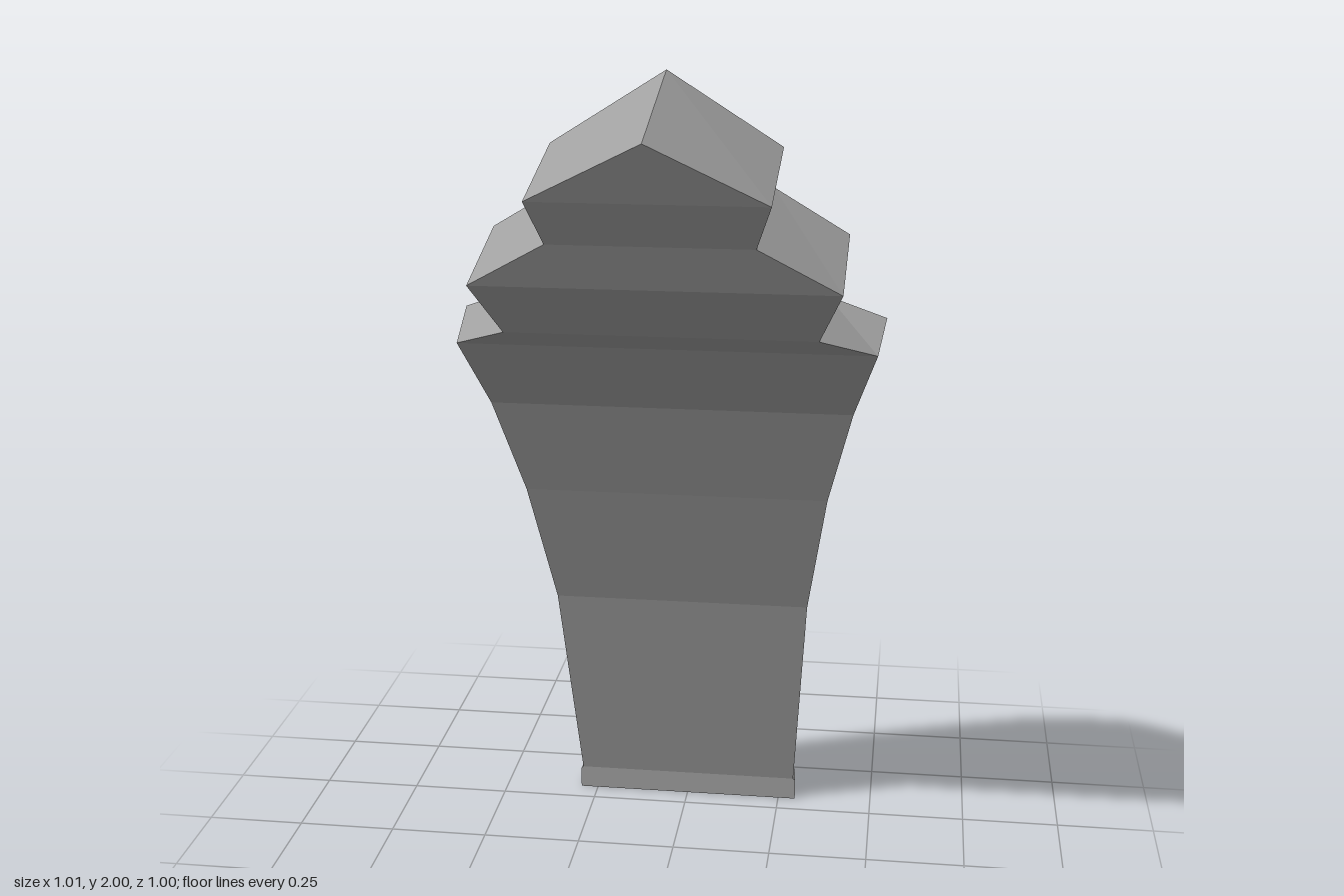
import * as THREE from 'three';
import { toCreasedNormals } from 'three/addons/utils/BufferGeometryUtils.js';

// Front outline of the +x half, bottom to apex: [x, y, z]
const OUTLINE = [
  [0.295, 0, -0.31], [0.29, 0.06, -0.31], [0.325, 0.62, -0.17], [0.375, 0.95, -0.05],
  [0.435, 1.2, 0.05], [0.49, 1.37, 0.15], [0.36, 1.42, 0.235], [0.415, 1.55, 0.345],
  [0.23, 1.655, 0.39], [0.265, 1.755, 0.44], [0, 1.89, 0.5],
];

// Long edges of the stepped back, from the outer edge to the centre ridge
const RIBS = [
  [[0.284, 0.06, -0.37], [0.32, 0.62, -0.255], [0.37, 0.95, -0.17], [0.43, 1.2, -0.09], [0.505, 1.42, -0.02]],
  [[0.197, 0.06, -0.385], [0.235, 0.62, -0.27], [0.272, 0.95, -0.18], [0.308, 1.2, -0.1], [0.365, 1.47, -0.015]],
  [[0.18, 0.06, -0.405], [0.225, 0.62, -0.295], [0.265, 0.95, -0.205], [0.305, 1.2, -0.125], [0.355, 1.47, -0.025], [0.415, 1.63, 0.055]],
  [[0.125, 0.06, -0.43], [0.15, 0.62, -0.33], [0.172, 1.03, -0.225], [0.198, 1.42, -0.1], [0.24, 1.735, 0.06]],
  [[0.105, 0.06, -0.445], [0.13, 0.62, -0.355], [0.155, 1.03, -0.255], [0.182, 1.42, -0.125], [0.222, 1.735, 0.03], [0.265, 1.835, 0.12]],
  [[0, 0.06, -0.485], [0, 0.56, -0.42], [0, 1.0, -0.32], [0, 1.37, -0.22], [0, 1.67, -0.1], [0, 1.87, 0.005], [0, 2, 0.11]],
];
const LEVELS = [0.06, 0.34, 0.62, 0.95, 1.2, 1.37, 1.42, 1.47, 1.63, 1.735, 1.835, 1.9, 2];

// Point on a rising polyline at height y, held at its top end
function pointAt(line, y) {
  const last = line[line.length - 1];
  if (y >= last[1]) return last;
  let i = 0;
  while (line[i + 1][1] < y) i++;
  const [a, b] = [line[i], line[i + 1]];
  const t = (y - a[1]) / (b[1] - a[1]);
  return a.map((v, k) => v + (b[k] - v) * t);
}

// Collects faces of the +x half together with their mirror image
function mirroredSurface() {
  const data = [];
  const same = (a, b) => a.every((v, k) => Math.abs(v - b[k]) < 1e-6);
  const tri = (a, b, c) => {
    if (same(a, b) || same(b, c) || same(a, c)) return;
    data.push(...a, ...b, ...c);
    for (const p of [a, c, b]) data.push(-p[0], p[1], p[2]);
  };
  const quad = (a, b, c, d) => { tri(a, b, c); tri(a, c, d); };
  const build = (crease) => {
    const g = new THREE.BufferGeometry();
    g.setAttribute('position', new THREE.Float32BufferAttribute(data, 3));
    if (crease) return toCreasedNormals(g, crease);
    g.computeVertexNormals();
    return g;
  };
  return { tri, quad, build };
}

export function createModel() {
  const group = new THREE.Group();
  const stone = new THREE.MeshStandardMaterial({ color: 0xa0a0a0 });
  stone.name = 'grey stone';
  const add = (name, geometry) => {
    const mesh = new THREE.Mesh(geometry, stone);
    mesh.name = name;
    group.add(mesh);
  };

  // Front face: flat bands following the curve
  const front = mirroredSurface();
  for (let i = 1; i < OUTLINE.length - 1; i++) {
    const [a, b] = [OUTLINE[i], OUTLINE[i + 1]];
    front.quad([0, a[1], a[2]], a, b, [0, b[1], b[2]]);
  }
  add('frontFace', front.build());

  // Sides and ribbed back
  const columns = [OUTLINE.slice(1, 6), ...RIBS];
  const back = mirroredSurface();
  for (let k = 0; k < columns.length - 1; k++) {
    for (let i = 0; i < LEVELS.length - 1; i++) {
      const [lo, hi] = [LEVELS[i], LEVELS[i + 1]];
      back.quad(pointAt(columns[k], lo), pointAt(columns[k + 1], lo),
        pointAt(columns[k + 1], hi), pointAt(columns[k], hi));
    }
  }
  add('ribbedBack', back.build(0.45));

  // Stepped crown between the front outline and the rib tops
  const crown = mirroredSurface();
  const tops = RIBS.map((rib) => rib[rib.length - 1]);
  for (let k = 0; k < tops.length - 1; k++) {
    crown.quad(OUTLINE[k + 5], tops[k], tops[k + 1], OUTLINE[k + 6]);
  }
  add('steppedCrown', crown.build());

  // Base strip with a slight lip
  const base = mirroredSurface();
  const foot = columns.map((c, k) => [c[0][0] * 1.02, 0, c[0][2] - (k ? 0.01 : 0)]);
  const rim = foot.map(([x, , z]) => [x, 0.055, z]);
  const centre = [0, 0, -0.31];
  for (let k = 0; k < foot.length - 1; k++) {
    base.quad(foot[k], foot[k + 1], rim[k + 1], rim[k]);
    base.quad(rim[k], rim[k + 1], columns[k + 1][0], columns[k][0]);
    base.tri(centre, foot[k + 1], foot[k]);
  }
  base.quad(centre, foot[0], rim[0], [0, 0.055, -0.31]);
  base.quad([0, 0.055, -0.31], rim[0], columns[0][0], [0, 0.06, -0.31]);
  add('base', base.build());

  return group;
}
